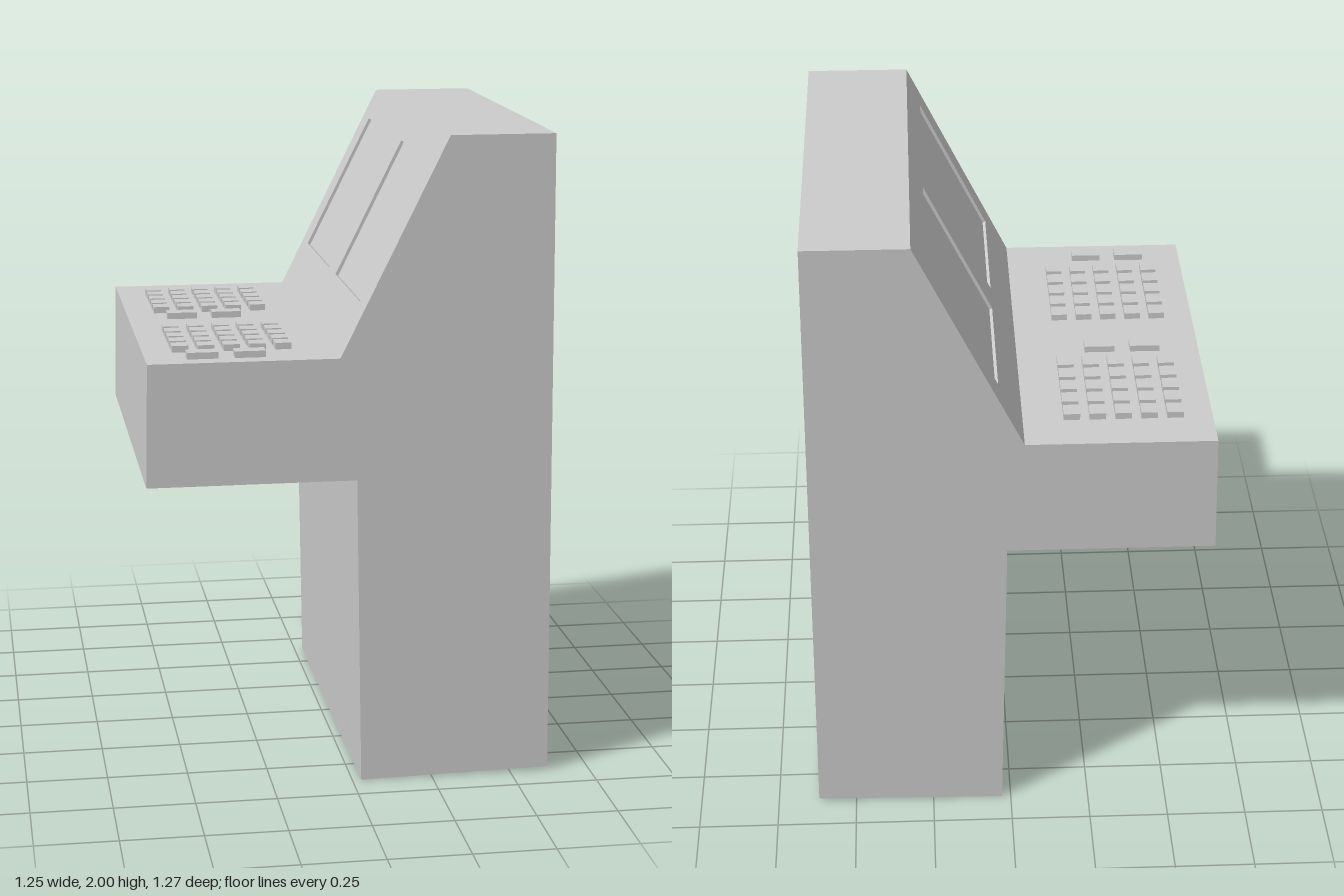
import * as THREE from 'three';

const WIDTH = 1.274;
const DECK_Y = 1.34;
const RECESS = 0.01;

export function createModel() {
  const console_ = new THREE.Group();
  console_.name = 'console';
  const material = new THREE.MeshStandardMaterial({ color: 0xcccccc, flatShading: true });

  function add(parent, name, geometry, x = 0, y = 0, z = 0) {
    const mesh = new THREE.Mesh(geometry, material);
    mesh.name = name;
    mesh.position.set(x, y, z);
    parent.add(mesh);
    return mesh;
  }

  // Sloped face: foot and head of the slope, its direction and inward normal
  const foot = new THREE.Vector2(-0.04, DECK_Y);
  const head = new THREE.Vector2(0.287, 2);
  const up = head.clone().sub(foot).normalize();
  const inward = new THREE.Vector2(up.y, -up.x).multiplyScalar(RECESS);
  const slopeLength = head.distanceTo(foot);

  // Cabinet: side profile extruded across the width, notched for the screen panel
  const profile = new THREE.Shape([
    new THREE.Vector2(0.028, 0),
    new THREE.Vector2(0.62, 0.01),
    new THREE.Vector2(0.605, 2),
    head,
    head.clone().add(inward),
    foot.clone().add(inward),
    foot,
    new THREE.Vector2(-0.617, DECK_Y),
    new THREE.Vector2(-0.625, 0.963),
    new THREE.Vector2(0.012, 0.963),
  ]);
  const cabinet = new THREE.ExtrudeGeometry(profile, { depth: WIDTH, bevelEnabled: false });
  add(console_, 'cabinet', cabinet, 0, 0, -WIDTH / 2);

  // Screen panel: a thin plate whose two openings form the recessed screens
  const rect = (Type, x0, x1, y0, y1) => new Type([
    new THREE.Vector2(x0, y0), new THREE.Vector2(x1, y0),
    new THREE.Vector2(x1, y1), new THREE.Vector2(x0, y1),
  ]);
  const plate = rect(THREE.Shape, -WIDTH / 2, WIDTH / 2, 0, slopeLength);
  const alongSlope = (x) => (x - foot.x) / up.x;
  for (const z of [-0.3, 0.304]) {
    plate.holes.push(rect(THREE.Path, z - 0.236, z + 0.236, alongSlope(0.035), alongSlope(0.245)));
  }
  const panel = add(console_, 'screenPanel',
    new THREE.ExtrudeGeometry(plate, { depth: RECESS, bevelEnabled: false }));
  // Plate axes: across the width, up the slope, outward
  panel.applyMatrix4(new THREE.Matrix4().makeBasis(
    new THREE.Vector3(0, 0, 1),
    new THREE.Vector3(up.x, up.y, 0),
    new THREE.Vector3(-up.y, up.x, 0),
  ).setPosition(foot.x + inward.x, foot.y + inward.y, 0));

  // Two keypads: a 5 x 5 block of keys and two wide keys each
  const key = new THREE.BoxGeometry(0.05, 0.022, 0.056);
  const wideKey = new THREE.BoxGeometry(0.094, 0.022, 0.05);
  const keyY = DECK_Y + 0.009;
  for (const [name, z] of [['rightKeypad', -0.322], ['leftKeypad', 0.299]]) {
    const pad = new THREE.Group();
    pad.name = name;
    pad.position.set(-0.346, keyY, z);
    for (let i = -2; i <= 2; i++) {
      for (let j = -2; j <= 2; j++) add(pad, 'key', key, i * 0.0785, 0, j * 0.0745);
    }
    for (const x of [-0.1, 0.043]) add(pad, 'wideKey', wideKey, x, 0, 0.257);
    console_.add(pad);
  }

  return console_;
}
